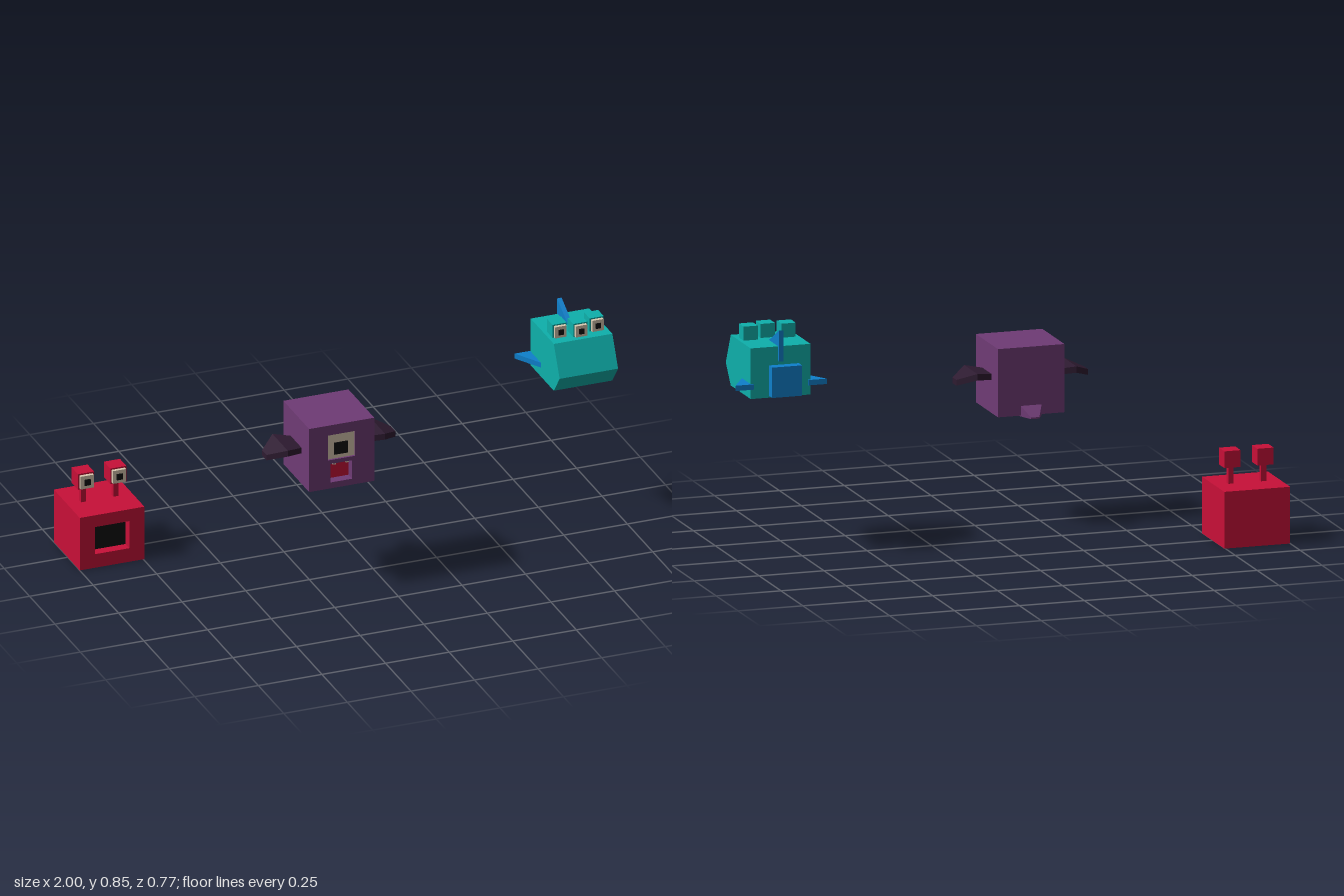
import * as THREE from 'three';

const mat = (color, side = THREE.FrontSide) => {
  const m = new THREE.MeshStandardMaterial({ color, flatShading: true });
  m.side = side;
  return m;
};
const RED = mat(0xc81038), PURPLE = mat(0x6f3b75), DARK = mat(0x2e1b31);
const TEAL = mat(0x0eb0ab), TEAL_OPEN = mat(0x0eb0ab, THREE.DoubleSide);
const BLUE = mat(0x0e80cc), CREAM = mat(0xd9c9b0), BLACK = mat(0x0c0c0c);

function add(parent, name, geometry, material) {
  const mesh = new THREE.Mesh(geometry, material);
  mesh.name = name;
  parent.add(mesh);
  return mesh;
}

function group(parent, name) {
  const g = new THREE.Group();
  g.name = name;
  if (parent) parent.add(g);
  return g;
}

// Box given by its limits on each axis
function box(parent, name, [x0, x1], [y0, y1], [z0, z1], material) {
  const g = new THREE.BoxGeometry(x1 - x0, y1 - y0, z1 - z0);
  g.translate((x0 + x1) / 2, (y0 + y1) / 2, (z0 + z1) / 2);
  return add(parent, name, g, material);
}

function rect(Type, [x0, x1], [y0, y1]) {
  return new Type([[x0, y0], [x1, y0], [x1, y1], [x0, y1]].map(p => new THREE.Vector2(...p)));
}

// Cube body whose front wall has rectangular openings of a given depth
function hollowBody(parent, x, y, z, depth, holes, material) {
  box(parent, 'body', x, y, [z[0], z[1] - depth], material);
  const shape = rect(THREE.Shape, x, y);
  for (const [hx, hy] of holes) shape.holes.push(rect(THREE.Path, hx, hy));
  const g = new THREE.ExtrudeGeometry(shape, { depth, bevelEnabled: false });
  g.translate(0, 0, z[1] - depth);
  add(parent, 'face', g, material);
}

// Solid lofted through rectangular stations [x, y, z, halfX, halfY, halfZ];
// the cross-section lies across the given axis ('x' or 'z')
function loft(stations, axis) {
  const pos = [], index = [];
  for (const [x, y, z, hx, hy, hz] of stations)
    for (const [a, b] of [[-1, -1], [1, -1], [1, 1], [-1, 1]])
      pos.push(x + (axis === 'x' ? 0 : a * hx), y + b * hy, z + (axis === 'x' ? -a * hz : 0));
  const n = stations.length;
  for (let s = 0; s < n - 1; s++)
    for (let i = 0; i < 4; i++) {
      const a = s * 4 + i, b = s * 4 + (i + 1) % 4;
      index.push(a, b, b + 4, a, b + 4, a + 4);
    }
  const e = (n - 1) * 4;
  index.push(0, 2, 1, 0, 3, 2, e, e + 1, e + 2, e, e + 2, e + 3);
  const g = new THREE.BufferGeometry();
  g.setAttribute('position', new THREE.Float32BufferAttribute(pos, 3));
  g.setIndex(index);
  const flat = g.toNonIndexed();
  flat.computeVertexNormals();
  return flat;
}

// Cube eye with a cream plate and a black pupil
function cubeEye(parent, x, y, z, size, material) {
  const eye = group(parent, 'eye');
  const span = (c, w) => [c - w / 2, c + w / 2];
  const front = z + size / 2, k = size * 0.82, p = size * 0.36;
  box(eye, 'eyeBlock', span(x, size), span(y, size), span(z, size), material);
  box(eye, 'eyePlate', span(x, k), span(y, k), [front, front + 0.013], CREAM);
  box(eye, 'pupil', span(x, p), span(y, p), [front + 0.013, front + 0.019], BLACK);
}

function stalkCreature() {
  const g = group(null, 'stalkEyedCreature');
  const mx = [-0.94, -0.805], my = [0.055, 0.165];
  hollowBody(g, [-1, -0.746], [0, 0.213], [-0.387, -0.132], 0.04, [[mx, my]], RED);
  box(g, 'mouthBack', mx, my, [-0.18, -0.17], BLACK);
  for (const x of [-0.937, -0.81]) {
    box(g, 'eyeStalk', [x - 0.01, x + 0.01], [0.213, 0.278], [-0.272, -0.251], RED);
    cubeEye(g, x, 0.3095, -0.26, 0.063, RED);
  }
  return g;
}

function wingedCreature() {
  const g = group(null, 'wingedCreature');
  const cx = -0.178;
  const ex = [-0.232, -0.125], ey = [0.543, 0.644];
  const mx = [-0.222, -0.137], my = [0.452, 0.527];
  hollowBody(g, [-0.306, -0.05], [0.428, 0.684], [0.134, 0.388], 0.04, [[ex, ey], [mx, my]], PURPLE);
  // Single eye set into the face
  box(g, 'eyePlate', ex, ey, [0.345, 0.38], CREAM);
  box(g, 'pupil', [-0.205, -0.152], [0.56, 0.607], [0.375, 0.385], BLACK);
  // Mouth with two small teeth
  box(g, 'mouthBack', mx, my, [0.34, 0.352], RED);
  for (const s of [-1, 1])
    box(g, 'tooth', [cx + s * 0.025 - 0.006, cx + s * 0.025 + 0.006], [0.518, 0.528], [0.365, 0.38], CREAM);
  // Wings bend upward, then droop to a narrow tip
  for (const s of [-1, 1]) {
    const wing = group(g, s > 0 ? 'leftWing' : 'rightWing');
    const geo = loft([
      [0.125, 0.563, 0.26, 0, 0.011, 0.053],
      [0.191, 0.572, 0.26, 0, 0.012, 0.076],
      [0.255, 0.545, 0.255, 0, 0.011, 0.022],
    ], 'x');
    add(wing, 'wingPanel', geo, DARK);
    wing.position.set(cx, 0, s > 0 ? 0 : 0.52);
    if (s < 0) wing.rotation.y = Math.PI;
  }
  // Short tapering tail
  add(g, 'tail', loft([
    [cx, 0.426, 0.088, 0.016, 0.003, 0],
    [cx, 0.447, 0.14, 0.043, 0.022, 0],
  ], 'z'), PURPLE).material = mat(0x6f3b75, THREE.DoubleSide);
  return g;
}

// Thin triangular fin in the (z, height) plane, centred on x = 0
function finGeometry(points, thickness) {
  const shape = new THREE.Shape(points.map(([z, y]) => new THREE.Vector2(-z, y)));
  const g = new THREE.ExtrudeGeometry(shape, { depth: thickness, bevelEnabled: false });
  g.translate(0, 0, -thickness / 2);
  g.rotateY(Math.PI / 2);
  return g;
}

function fishCreature() {
  const g = group(null, 'fishCreature');
  const cx = 0.824, x0 = 0.709, x1 = 0.939;
  // Shell: two side walls joined by strips, underside half open
  const profile = [[0.596, 0.255], [0.67, 0.312], [0.786, 0.255], [0.786, 0.027], [0.596, 0.027]];
  const pos = [], index = [];
  for (const x of [x0, x1]) for (const [y, z] of profile) pos.push(x, y, z);
  for (let i = 0; i < 4; i++) index.push(i, i + 5, i + 6, i, i + 6, i + 1);
  for (let i = 1; i < 4; i++) index.push(0, i, i + 1, 5, i + 6, i + 5);
  index.push(4, 9, 0);
  const shell = new THREE.BufferGeometry();
  shell.setAttribute('position', new THREE.Float32BufferAttribute(pos, 3));
  shell.setIndex(index);
  const flat = shell.toNonIndexed();
  flat.computeVertexNormals();
  add(g, 'body', flat, TEAL_OPEN);

  // Three eyes, the middle one further forward
  for (const i of [-1, 0, 1])
    cubeEye(g, cx + i * 0.073, 0.811, i ? 0.179 : 0.2, 0.055, TEAL);

  // Tail
  box(g, 'tailStem', [0.783, 0.864], [0.632, 0.708], [-0.013, 0.027], TEAL);
  box(g, 'tailFin', [0.767, 0.882], [0.613, 0.727], [-0.05, -0.013], BLUE);

  // Fins
  const dorsal = add(g, 'dorsalFin', finGeometry([[0.133, 0.786], [0.021, 0.73], [0.021, 0.846]], 0.018), BLUE);
  dorsal.position.x = cx;
  for (const s of [-1, 1]) {
    const fin = add(g, s > 0 ? 'leftFin' : 'rightFin',
      finGeometry([[0.127, 0], [0.021, -0.01], [0.021, 0.061]], 0.02), BLUE);
    fin.rotation.z = -s * Math.PI / 2;
    fin.position.set(s > 0 ? x1 : x0, 0.642, 0);
  }
  return g;
}

export function createModel() {
  const model = group(null, 'creatures');
  model.add(stalkCreature(), wingedCreature(), fishCreature());
  return model;
}
